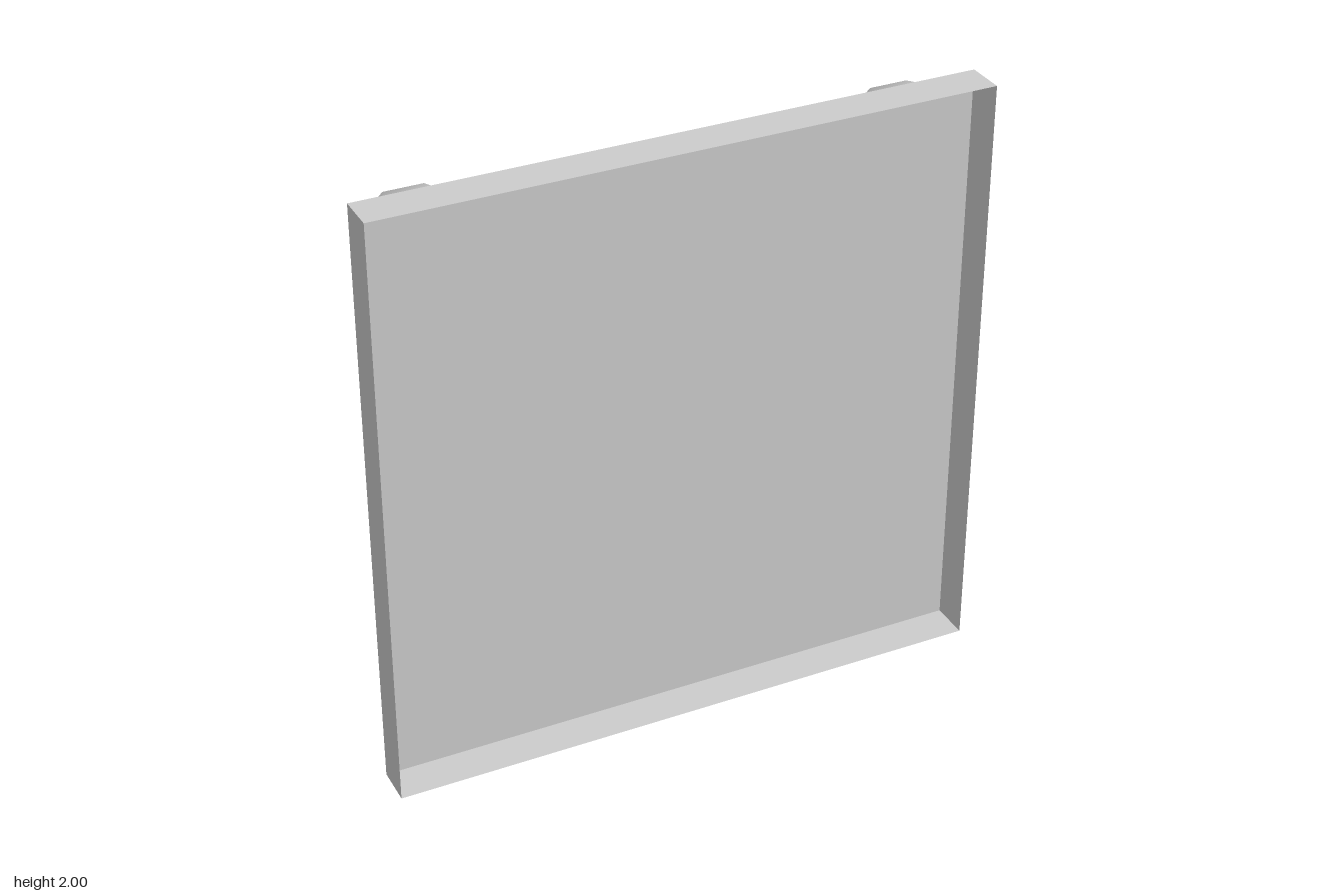
import * as THREE from 'three';

const grey = new THREE.MeshStandardMaterial({ color: 0xcccccc, side: THREE.DoubleSide });
grey.name = 'plain grey';

// Lathe whose axis points to the back (-z), with flat sides facing up, down, left and right
function backLathe(profile, sides) {
  const points = profile.map(([r, h]) => new THREE.Vector2(r, h));
  const geometry = new THREE.LatheGeometry(points, sides, Math.PI / sides);
  return geometry.rotateX(-Math.PI / 2);
}

function addMesh(parent, name, geometry, x, y, z) {
  const mesh = new THREE.Mesh(geometry, grey);
  mesh.name = name;
  mesh.position.set(x, y, z);
  parent.add(mesh);
  return mesh;
}

export function createModel() {
  const model = new THREE.Group();
  model.name = 'squareTile';
  const depth = 0.13, panelZ = 0.05, midZ = panelZ + depth / 2;

  // Thin-walled tray, open at the front
  const panel = addMesh(model, 'backPanel', new THREE.PlaneGeometry(2, 2), 0, 1, panelZ);
  panel.rotation.y = Math.PI;
  for (let i = 0; i < 4; i++) {
    const a = i * Math.PI / 2;
    const wall = new THREE.PlaneGeometry(2, depth).rotateX(-Math.PI / 2).translate(0, 1, 0).rotateZ(a);
    addMesh(model, 'rimWall', wall, 0, 1, midZ);
  }

  // Tapered, open ring on the back
  addMesh(model, 'taperedRing', backLathe([[0.73, 0], [0.645, depth]], 16), 0, 1, panelZ);

  // Domed knobs at the corners
  const dome = [[0.19, -panelZ]];
  for (let i = 0; i <= 3; i++) {
    const a = i * Math.PI / 6;
    dome.push([i === 3 ? 0 : 0.19 * Math.cos(a), 0.178 * Math.sin(a)]);
  }
  const knob = backLathe(dome, 8);
  for (const x of [-0.785, 0.785])
    for (const y of [0.215, 1.785]) addMesh(model, 'cornerKnob', knob, x, y, 0);

  return model;
}
